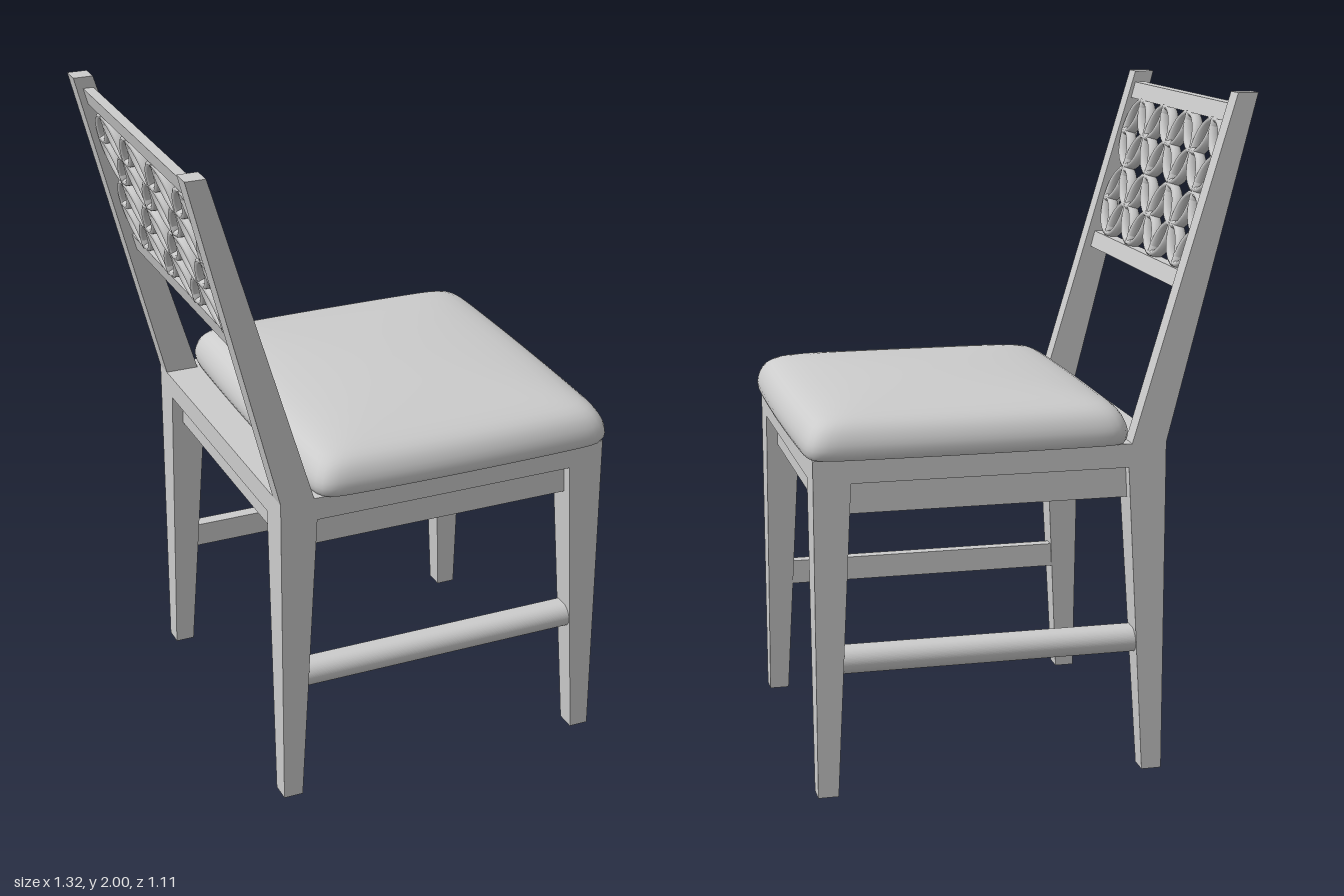
import * as THREE from 'three';

const material = new THREE.MeshStandardMaterial({ color: 0xcccccc });

function add(parent, name, geometry, x = 0, y = 0, z = 0) {
  const mesh = new THREE.Mesh(geometry, material);
  mesh.name = name;
  mesh.position.set(x, y, z);
  parent.add(mesh);
  return mesh;
}

// Straight-sided bar between two rectangles [x0, x1, z0, z1] at heights y0 and y1
function taperedBar(y0, low, y1, high) {
  const geometry = new THREE.BoxGeometry(1, 1, 1);
  const p = geometry.attributes.position;
  for (let i = 0; i < p.count; i++) {
    const rect = p.getY(i) > 0 ? high : low;
    p.setXYZ(i, rect[p.getX(i) > 0 ? 1 : 0], p.getY(i) > 0 ? y1 : y0, rect[p.getZ(i) > 0 ? 3 : 2]);
  }
  geometry.computeVertexNormals();
  return geometry;
}

// Mirrored z range on the given side, kept in ascending order
const zRange = (side, inner, outer) => (side > 0 ? [inner, outer] : [-outer, -inner]);

// Rectangular ring lying flat, with its underside at y = 0
function rectFrame(hx, hz, width, height) {
  const rect = (shape, x, z) =>
    shape.moveTo(-x, -z).lineTo(x, -z).lineTo(x, z).lineTo(-x, z).closePath();
  const shape = new THREE.Shape();
  rect(shape, hx, hz);
  const hole = new THREE.Path();
  rect(hole, hx - width, hz - width);
  shape.holes.push(hole);
  return new THREE.ExtrudeGeometry(shape, { depth: height, bevelEnabled: false }).rotateX(-Math.PI / 2);
}

// Bar along x with a flat back and a half-round front facing +z
function halfRoundBar(length, radius, flat) {
  const shape = new THREE.Shape();
  shape.moveTo(-flat, -radius).lineTo(0, -radius);
  shape.absarc(0, 0, radius, -Math.PI / 2, Math.PI / 2, false);
  shape.lineTo(-flat, radius).closePath();
  return new THREE.ExtrudeGeometry(shape, { depth: length, bevelEnabled: false, curveSegments: 16 })
    .translate(0, 0, -length / 2).rotateY(-Math.PI / 2);
}

// Cushion lofted from squarish loops that grow rounder towards the middle of the crown
function cushionGeometry(hx, hz) {
  // [fraction of full size, height]
  const profile = [[0, 0], [0.97, 0], [0.985, 0.002], [0.996, 0.014], [1, 0.03], [0.996, 0.046], [0.987, 0.061],
    [0.972, 0.077], [0.95, 0.092], [0.92, 0.104], [0.88, 0.114], [0.82, 0.122], [0.74, 0.129], [0.62, 0.135],
    [0.46, 0.14], [0.3, 0.143], [0.15, 0.1445], [0, 0.145]];
  const n = 192, positions = [], index = [];
  profile.forEach(([u, y], row) => {
    const power = 2 + 17 * u ** 3;
    for (let i = 0; i < n; i++) {
      const a = (i / n) * Math.PI * 2, c = Math.cos(a), s = Math.sin(a);
      const r = u / Math.pow(Math.abs(c) ** power + Math.abs(s) ** power, 1 / power);
      // Sides bow in slightly towards the corners
      const x = c * r, z = s * r;
      positions.push(x * (1 - 0.02 * z * z) * hx, y, z * (1 - 0.018 * x * x) * hz);
      if (row > 0) {
        const j = (i + 1) % n, low = (row - 1) * n, up = row * n;
        index.push(low + i, up + i, low + j, low + j, up + i, up + j);
      }
    }
  });
  const geometry = new THREE.BufferGeometry();
  geometry.setAttribute('position', new THREE.Float32BufferAttribute(positions, 3));
  geometry.setIndex(index);
  geometry.computeVertexNormals();
  return geometry;
}

export function createModel() {
  const chair = new THREE.Group();
  chair.name = 'chair';
  const back = -0.405, front = 0.63, side = 0.517;
  const midX = (back + front) / 2, halfX = (front - back) / 2;

  // Solid seat base, recessed apron and cushion
  add(chair, 'seatBase', new THREE.BoxGeometry(halfX * 2, 0.07, side * 2), midX, 0.965, 0);
  add(chair, 'apron', rectFrame(halfX - 0.035, side - 0.035, 0.045, 0.097), midX, 0.834, 0);
  add(chair, 'seatCushion', cushionGeometry(0.482, 0.554), 0.175, 1.0, 0);

  for (const s of [1, -1]) {
    // Legs taper on their inner faces only
    const lowZ = zRange(s, 0.455, side), highZ = zRange(s, 0.41, side);
    add(chair, 'frontLeg', taperedBar(0, [0.57, front, ...lowZ], 0.93, [0.522, front, ...highZ]));
    add(chair, 'backLeg', taperedBar(0, [back, -0.345, ...lowZ], 0.93, [back, -0.293, ...highZ]));

    // Raked back post
    add(chair, 'backPost', taperedBar(1, [back, -0.302, ...lowZ], 2, [-0.66, -0.6, ...lowZ]));

    // Side stretcher, rounded on the outside
    const stretcher = add(chair, 'sideStretcher', halfRoundBar(0.9, 0.038, 0.032), 0.112, 0.397, s * 0.474);
    stretcher.rotation.y = s > 0 ? 0 : Math.PI;
  }

  // Back rails follow the rake, with level tops and undersides
  const slope = 0.273;
  const faceX = (y) => -0.6 - slope * (y - 1.965);
  const railRect = (y) => [faceX(y) - 0.032, faceX(y), -0.46, 0.46];
  for (const [name, y0, y1] of [['topRail', 1.915, 1.965], ['lowerRail', 1.434, 1.484]])
    add(chair, name, taperedBar(y0, railRect(y0), y1, railRect(y1)));

  // Lattice, built upright facing +z, then turned to face +x and leaned back
  const lattice = new THREE.Group();
  lattice.name = 'lattice';
  const r = 0.1138;

  // Touching rings, overlapped by a slightly larger set shifted half a step;
  // rings centred on the border keep only the arc inside it
  const ring = (i, j, radius) => {
    const atSide = Math.abs(i) === 4, atEnd = Math.abs(j) === 2;
    let start = 0, arc = Math.PI * 2;
    if (atSide && atEnd) {
      arc = Math.PI / 2;
      start = i < 0 ? (j < 0 ? 0 : -arc) : (j < 0 ? arc : 2 * arc);
    } else if (atSide) {
      arc = Math.PI;
      start = i < 0 ? -arc / 2 : arc / 2;
    } else if (atEnd) {
      arc = Math.PI;
      start = j < 0 ? 0 : arc;
    }
    const geometry = new THREE.TorusGeometry(radius, 0.0115, 8, Math.round(arc * 8), arc);
    geometry.rotateZ(start).scale(1, 0.98, 1.6);
    add(lattice, 'latticeRing', geometry, i * r, j * r * 0.98, 0);
  };
  for (let i = -3; i <= 3; i += 2) for (const j of [-1, 1]) ring(i, j, r - 0.005);
  for (let i = -4; i <= 4; i += 2) for (const j of [-2, 0, 2]) ring(i, j, r * 1.03);

  lattice.rotation.y = Math.PI / 2;
  const lean = new THREE.Group();
  lean.name = 'leaningLattice';
  lean.add(lattice);
  lean.position.set(faceX(1.7) - 0.016, 1.7, 0);
  lean.rotation.z = Math.atan(slope);
  chair.add(lean);

  return chair;
}
